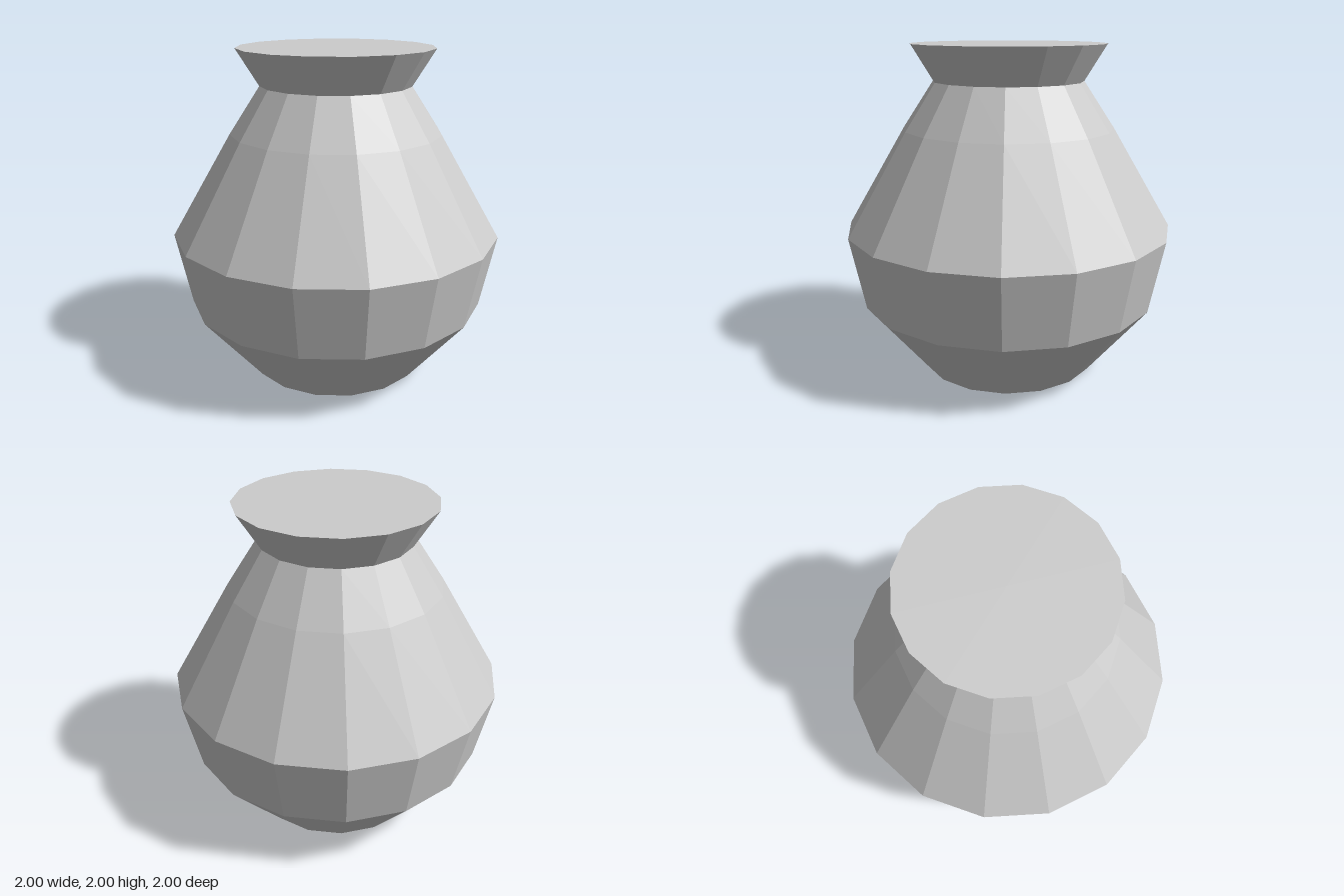
import * as THREE from 'three';

const SIDES = 16;

export function createModel() {
  const clay = new THREE.MeshStandardMaterial({ color: 0xcccccc });
  clay.name = 'greyClay';
  const vase = new THREE.Group();
  vase.name = 'vase';

  // Faceted ring turned from [radius, height] points, bottom to top
  function turned(name, profile) {
    const points = profile.map(([r, y]) => new THREE.Vector2(r, y));
    const geometry = new THREE.LatheGeometry(points, SIDES).toNonIndexed();
    geometry.computeVertexNormals();
    const mesh = new THREE.Mesh(geometry, clay);
    mesh.name = name;
    vase.add(mesh);
  }

  // Flat disc closing an end; direction is 1 for up and -1 for down
  function disc(name, radius, y, direction) {
    const mesh = new THREE.Mesh(new THREE.CircleGeometry(radius, SIDES), clay);
    mesh.name = name;
    mesh.rotation.x = -direction * Math.PI / 2;
    mesh.position.y = y;
    vase.add(mesh);
  }

  turned('belly', [[0.545, 0], [0.91, 0.445], [1, 0.89]]);
  turned('shoulder', [[1, 0.89], [0.64, 1.5], [0.455, 1.78]]);
  turned('flaredLip', [[0.455, 1.78], [0.59, 2]]);
  disc('base', 0.545, 0, -1);
  disc('top', 0.59, 2, 1);

  return vase;
}
